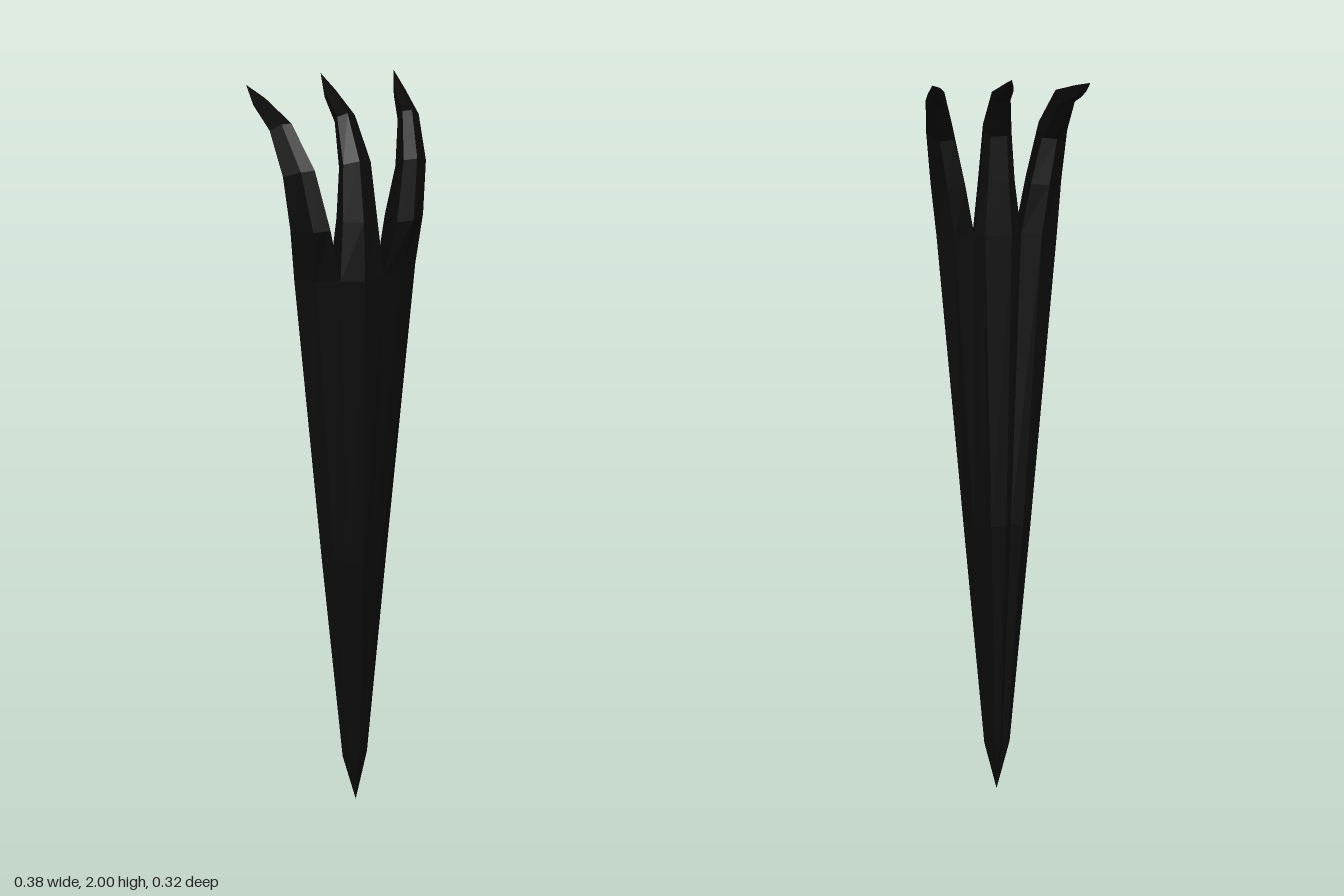
import * as THREE from 'three';

const black = new THREE.MeshStandardMaterial({ color: 0x0b0b0b, flatShading: true });
black.name = 'black';

// Skin a list of equal-length rings (each counterclockwise seen from above)
function loft(name, rings) {
  const pos = [];
  const tri = (a, b, c) => {
    const area = new THREE.Triangle(a, b, c).getArea();
    if (area > 1e-9) pos.push(...a.toArray(), ...b.toArray(), ...c.toArray());
  };
  for (let r = 0; r + 1 < rings.length; r++) {
    const lo = rings[r], hi = rings[r + 1], n = lo.length;
    for (let i = 0; i < n; i++) {
      const j = (i + 1) % n;
      tri(lo[i], lo[j], hi[j]);
      tri(lo[i], hi[j], hi[i]);
    }
  }
  const geo = new THREE.BufferGeometry();
  geo.setAttribute('position', new THREE.Float32BufferAttribute(pos, 3));
  geo.computeVertexNormals();
  const mesh = new THREE.Mesh(geo, black);
  mesh.name = name;
  return mesh;
}

const mirrorRing = (ring) => ring.map((p) => new THREE.Vector3(-p.x, p.y, p.z)).reverse();
const flatRing = (pts, y) => pts.map(([x, z]) => new THREE.Vector3(x, y, z));

// Cross-sections [x, z] where the shaft splits into its prongs
const SPLIT = 1.585;
const midBase = [[-0.055, 0.143], [0, 0.163], [0.055, 0.143], [0.06, 0.08], [0.034, 0.062], [-0.034, 0.062], [-0.06, 0.08]];
const sideBase = [[0.055, 0.143], [0.11, 0.123], [0.155, 0.093], [0.112, 0.066], [0.06, 0.08]];

// Prong sections as [across 0..1, back-to-front 0..1]
const midPattern = [[0, 0.7], [0.5, 1], [1, 0.7], [1, 0.2], [0.8, 0], [0.2, 0], [0, 0.2]];
const sidePattern = [[0, 1], [0.5, 1], [1, 0.5], [0.55, 0], [0, 0.1]];

// Hooked profile: front [y, z] and back [y, z] of every prong station
const hook = [
  [1.73, 0.152, 1.72, 0.061],
  [1.87, 0.12, 1.835, 0.06],
  [1.96, 0.035, 1.925, 0],
  [1.986, -0.09, 1.957, -0.09],
  [2, -0.16, 2, -0.16],
];
const midWidths = [[-0.043, 0.043], [-0.034, 0.034], [-0.022, 0.022], [-0.014, 0.014], [0, 0]];
const sideWidths = [[0.083, 0.167], [0.11, 0.178], [0.138, 0.186], [0.163, 0.192], [0.188, 0.188]];

function prongRings(base, pattern, widths, drop) {
  const rings = hook.map(([fy, fz, by, bz], s) => pattern.map(([u, v]) => new THREE.Vector3(
    THREE.MathUtils.lerp(widths[s][0], widths[s][1], u),
    THREE.MathUtils.lerp(by, fy, v) - drop,
    THREE.MathUtils.lerp(bz, fz, v),
  )));
  return [flatRing(base, SPLIT), ...rings];
}

export function createModel() {
  const group = new THREE.Group();
  group.name = 'threeProngedClaw';

  // Tapering shaft: [y, width scale, depth scale]
  const half = [[0.055, 0.143], [0.11, 0.123], [0.155, 0.093], [0.112, 0.066], [0.06, 0.08], [0.034, 0.062]];
  const section = [[0, 0.163], ...half, ...half.map(([x, z]) => [-x, z]).reverse()];
  const stations = [[0, 0, 0], [0.15, 0.23, 0.5], [0.8, 0.585, 0.98], [SPLIT, 1, 1]];
  group.add(loft('shaft', stations.map(([y, w, d]) =>
    flatRing(section.map(([x, z]) => [x * w, 0.111 + (z - 0.111) * d]), y))));

  // Three hooked prongs
  group.add(loft('middleProng', prongRings(midBase, midPattern, midWidths, 0)));
  const side = prongRings(sideBase, sidePattern, sideWidths, 0.01);
  group.add(loft('leftProng', side));
  group.add(loft('rightProng', side.map(mirrorRing)));
  return group;
}
